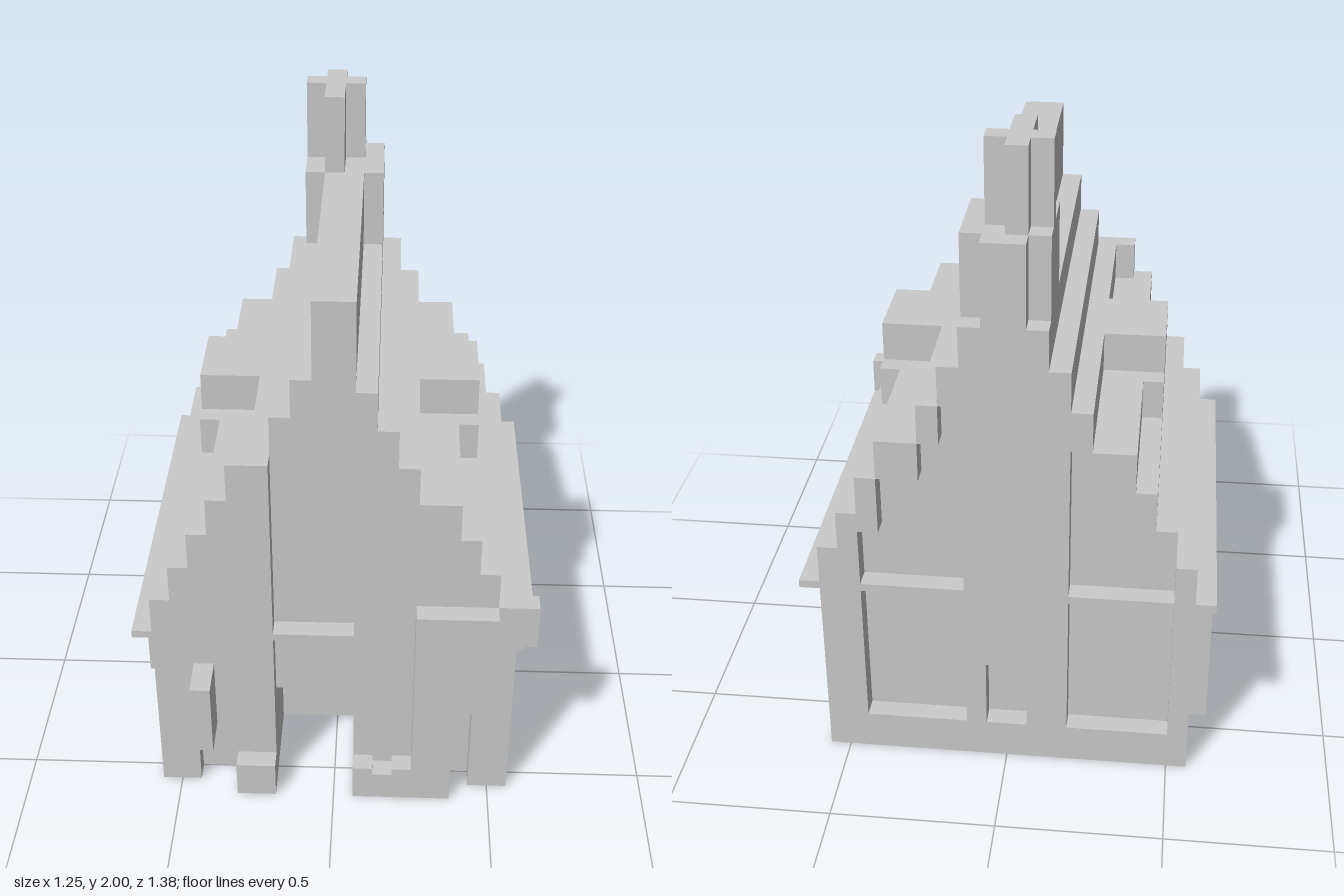
import * as THREE from 'three';

const U = 0.0625; // one block
// Roof steps from the eaves up: [half width, top height] in blocks
const STEPS = [[9, 12], [8, 14], [7, 16], [6, 18], [4, 20], [3, 22], [2, 24]];

export function createModel() {
  const model = new THREE.Group();
  const material = new THREE.MeshStandardMaterial({ color: 0xcccccc, flatShading: true });

  const add = (name, geometry) => {
    const mesh = new THREE.Mesh(geometry, material);
    mesh.name = name;
    model.add(mesh);
  };

  // Box between two corners, in blocks
  const box = (name, x0, x1, y0, y1, z0, z1) => {
    const g = new THREE.BoxGeometry((x1 - x0) * U, (y1 - y0) * U, (z1 - z0) * U);
    g.translate((x0 + x1) * U / 2, (y0 + y1) * U / 2, (z0 + z1) * U / 2);
    add(name, g);
  };

  const toVectors = (pts) => pts.map(([a, b]) => new THREE.Vector2(a * U, b * U));
  const extrude = (pts, holes, depth) => {
    const shape = new THREE.Shape(toVectors(pts));
    holes.forEach((h) => shape.holes.push(new THREE.Path(toVectors(h))));
    return new THREE.ExtrudeGeometry(shape, { depth: depth * U, bevelEnabled: false });
  };
  // Outline in x and y, running from z0 to z1
  const slabZ = (name, pts, z0, z1, holes = []) =>
    add(name, extrude(pts, holes, z1 - z0).translate(0, 0, z0 * U));
  // Outline in z and y, running from x0 to x1
  const slabX = (name, pts, x0, x1) =>
    add(name, extrude(pts, [], x1 - x0).rotateY(-Math.PI / 2).translate(x1 * U, 0, 0));

  // Stepped right-hand gable edge from the bottom up, cut off at half width 'inner'
  const gableEdge = (wall, inner, drop = 0) => {
    const pts = [[wall, 0], [wall, 10 - drop]];
    let y = 10 - drop;
    for (const [w, top] of STEPS) {
      if (w <= inner) break;
      pts.push([w, y], [w, top - drop]);
      y = top - drop;
    }
    pts.push([inner, y]);
    return pts;
  };
  const flip = (pts) => pts.map(([x, y]) => [-x, y]).reverse();

  // Main body, with a door passage cut into its front part
  const edge = gableEdge(8, 0);
  slabZ('houseBody', [...edge, ...flip(edge)], -10, 4);
  slabZ('houseFrontBody', [[1, 0], ...edge, ...flip(edge), [-3, 0], [-3, 5.6], [1, 5.6]], 4, 8);

  // Front gable halves either side of the entrance slot
  slabZ('frontGableLeft', [[1, 0], [6, 0], [6, 6], [7, 6], [7, 0], ...gableEdge(9, 1)], 8, 9);
  slabZ('frontGableRight', [...flip(gableEdge(9, 3)), [-7, 0], [-7, 4], [-6, 4], [-6, 1.6],
    [-5, 1.6], [-5, 0], [-3, 0]], 8, 9);
  box('gableCorner', -5, -4, 18, 20, 8, 9);

  // Back gable: stepped frame around recessed fields, centre panel and niche
  const back = gableEdge(9, 0);
  const field = (post, panel) => {
    const pts = [[panel, 2], [post, 2]];
    let y = post === 8 ? 12 : 13;
    pts.push([post, y]);
    for (const [w, top] of STEPS) {
      if (w >= post || w <= panel) continue;
      pts.push([w, y], [w, top - 2]);
      y = top - 2;
    }
    pts.push([panel, y]);
    return pts;
  };
  slabZ('backGable', [...back, ...flip(back)], -11, -10, [
    field(7, 2), flip(field(8, 3)), [[-1, 2], [1, 2], [1, 5.6], [-1, 5.6]],
  ]);

  // Eaves, ridge and dormers on both sides
  box('eaves', -10, 10, 9.6, 10, -11, 9);
  box('eavesEnd', 9, 10, 9.6, 12, 8, 9);
  box('ridge', -1, 1, 24, 28, -11, 8);
  for (const s of [-1, 1]) {
    const side = (a, b) => (s > 0 ? [a, b] : [-b, -a]);
    box('dormerTop', ...side(3, 7), 18, 20, -3, 1);
    box('dormerBase', ...side(5, 7), 16, 18, -4, 2);

    // Side wall with low openings
    slabX('sideWall', [[-10, 0], [-9, 0], [-9, 6], [-5, 6], [-5, 0], [-2, 0], [-2, 6], [7, 6],
      [7, 0], [8, 0], [8, 9.6], [-10, 9.6]], ...side(8, 9));
  }

  // Outer timbers on the left side
  slabX('leftOuterWall', [[-5, 0], [-2, 0], [-2, 1.6], [0, 1.6], [0, 4], [1, 4], [1, 9.6],
    [-7, 9.6], [-7, 5.6], [-6, 5.6], [-6, 5.1], [-5, 5.1]], 9, 10);
  slabX('leftHangingPost', [[2, 4.6], [3, 4.6], [3, 5.1], [4, 5.1], [4, 9.6], [2, 9.6]], 9, 10);

  // Outer timbers on the right side
  slabX('rightOuterWall', [[-7, 0], [-4, 0], [-4, 1.6], [-3, 1.6], [-3, 0], [1, 0], [1, 5],
    [0, 5], [0, 9.6], [-7, 9.6]], -10, -9);
  box('rightHangingPost', -10, -9, 4, 9.6, 3, 5);

  // Front details
  box('lantern', -7, -6, 4, 8, 9, 11);
  box('frontStep', -5, -3, 0, 2, 9, 10);
  slabZ('frontPanel', [[1, 0], [6, 0], [6, 6], [7, 6], [7, 7], [8, 7], [8, 12], [4, 12],
    [4, 2], [3, 2], [3, 1.6], [2, 1.6], [2, 2], [1, 2]], 9, 10);

  // Chimney: square base and cross-shaped stack
  box('chimneyBase', -2, 2, 24, 28, -10, -6);
  box('chimneyStack', -1, 0, 28, 32, -10, -6);
  box('chimneyCrossArm', -2, 1, 28, 32, -9, -8);

  return model;
}
